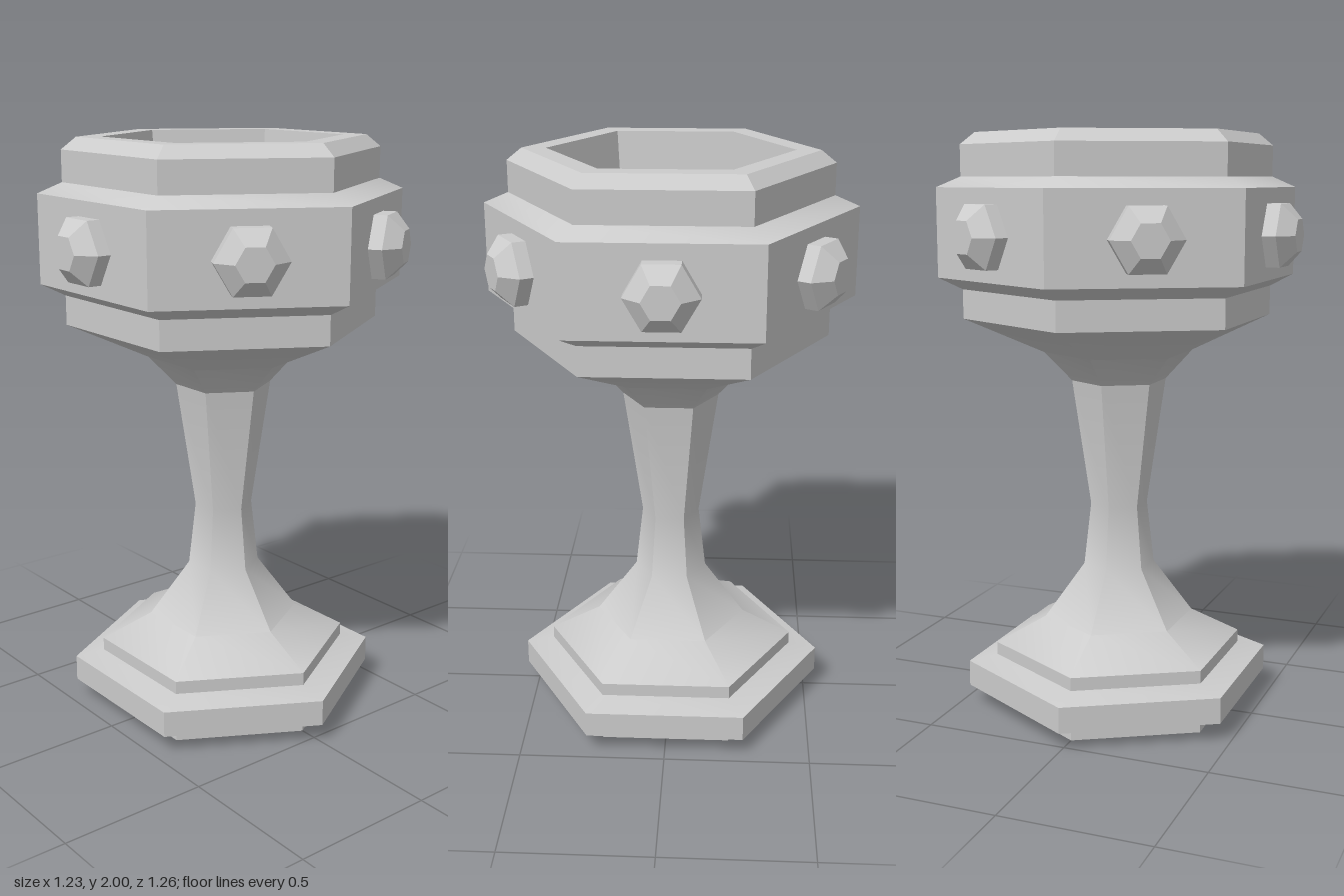
import * as THREE from 'three';
import { toCreasedNormals } from 'three/addons/utils/BufferGeometryUtils.js';

// Six-sided lathe with corners on the x axis; profile is [radius, y] pairs
function hexLathe(profile) {
  const points = profile.map(([r, y]) => new THREE.Vector2(r, y));
  return new THREE.LatheGeometry(points, 6, Math.PI / 2);
}

export function createModel() {
  const group = new THREE.Group();
  const material = new THREE.MeshStandardMaterial({ color: 0xcccccc });
  const gemMaterial = new THREE.MeshStandardMaterial({ color: 0xcccccc, flatShading: true });

  // Goblet: foot, stem, flared cup, rim and hollow bowl in one closed profile
  const goblet = hexLathe([
    [0, 0], [0.44, 0], [0.44, 0.05], [0.54, 0.065], [0.54, 0.155], [0.44, 0.175], [0.44, 0.22],
    [0.265, 0.31], [0.125, 0.5], [0.1, 0.72], [0.165, 1.16], [0.26, 1.26],
    [0.535, 1.38], [0.535, 1.48], [0.617, 1.52], [0.617, 1.82], [0.535, 1.855], [0.535, 1.96], [0.485, 2],
    [0.405, 2], [0.345, 1.47], [0, 1.3],
  ]);
  const body = new THREE.Mesh(toCreasedNormals(goblet, Math.PI / 6), material);
  body.name = 'goblet';
  group.add(body);

  // Faceted gems, one at the middle of each face of the band
  const gemGeometry = hexLathe([[0, 0], [0.118, 0], [0.118, 0.08], [0.06, 0.13], [0, 0.13]]);
  gemGeometry.rotateX(Math.PI / 2).translate(0, 1.667, 0.5);
  for (let i = 0; i < 6; i++) {
    const gem = new THREE.Mesh(gemGeometry, gemMaterial);
    gem.name = `gem${i + 1}`;
    gem.rotation.y = (i * Math.PI) / 3;
    group.add(gem);
  }
  return group;
}
